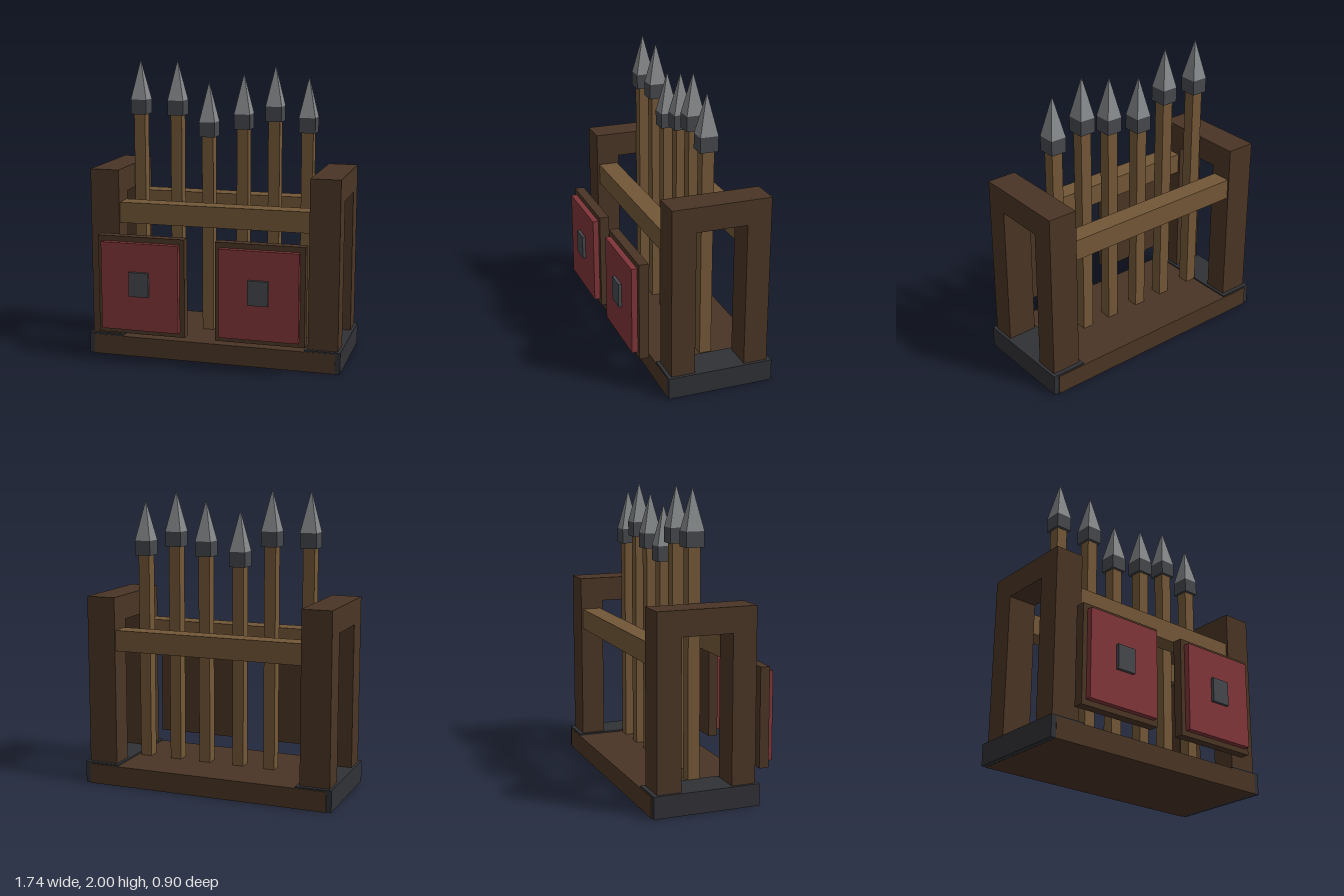
import * as THREE from 'three';

const material = (color) => new THREE.MeshStandardMaterial({ color, flatShading: true });

export function createModel() {
  const model = new THREE.Group();
  model.name = 'spearRack';
  const darkWood = material(0x4a3525);
  const lightWood = material(0x735737);
  const iron = material(0x46484c);
  const darkIron = material(0x303136);
  const steel = material(0x85888a);
  const red = material(0x803538);

  // Box given by its minimum and maximum corners
  function box(parent, name, mat, [x0, y0, z0], [x1, y1, z1]) {
    const mesh = new THREE.Mesh(new THREE.BoxGeometry(x1 - x0, y1 - y0, z1 - z0), mat);
    mesh.position.set((x0 + x1) / 2, (y0 + y1) / 2, (z0 + z1) / 2);
    mesh.name = name;
    parent.add(mesh);
    return mesh;
  }

  function group(name, x = 0, y = 0, z = 0) {
    const g = new THREE.Group();
    g.name = name;
    g.position.set(x, y, z);
    model.add(g);
    return g;
  }

  // Plinth
  box(model, 'base', darkWood, [-0.835, 0, -0.45], [0.835, 0.135, 0.27]);

  // End frames: iron shoe, two posts and a top beam
  for (const side of [-1, 1]) {
    const end = group(side > 0 ? 'leftEnd' : 'rightEnd', side * 0.75, 0, -0.085);
    box(end, 'baseCap', darkIron, [-0.12, 0.001, -0.358], [0.12, 0.145, 0.353]);
    box(end, 'backPost', darkWood, [-0.1, 0.14, -0.33], [0.1, 1.115, -0.17]);
    box(end, 'frontPost', darkWood, [-0.1, 0.14, 0.17], [0.1, 1.115, 0.33]);
    box(end, 'topBeam', darkWood, [-0.1, 1.115, -0.33], [0.1, 1.28, 0.33]);
  }

  // Rails between the end frames
  box(model, 'frontRail', lightWood, [-0.655, 0.92, 0.1], [0.655, 1.06, 0.23]);
  box(model, 'backRail', lightWood, [-0.655, 0.92, -0.405], [0.655, 1.06, -0.275]);

  // Spears: x position and height of the tip
  const spears = [[-0.6, 1.995], [-0.337, 1.995], [-0.115, 1.855],
    [0.128, 1.915], [0.344, 1.973], [0.57, 1.905]];
  const tipGeometry = new THREE.ConeGeometry(Math.SQRT1_2, 1, 4)
    .rotateY(Math.PI / 4).scale(0.11, 0.27, 0.12);
  spears.forEach(([x, top], i) => {
    const spear = group(`spear${i + 1}`, x, 0, -0.085);
    box(spear, 'shaft', lightWood, [-0.039, 0.13, -0.04], [0.039, top - 0.36, 0.04]);
    box(spear, 'collar', iron, [-0.055, top - 0.37, -0.06], [0.055, top - 0.27, 0.06]);
    const tip = new THREE.Mesh(tipGeometry, steel);
    tip.name = 'spearTip';
    tip.position.y = top - 0.135;
    spear.add(tip);
  });

  // Shields in front of the rack
  for (const x of [-0.448, 0.358]) {
    const shield = group(x > 0 ? 'leftShield' : 'rightShield', x, 0.532, 0.325);
    box(shield, 'backing', darkWood, [-0.299, -0.332, 0], [0.299, 0.332, 0.065]);
    box(shield, 'face', red, [-0.266, -0.296, 0.06], [0.266, 0.296, 0.104]);
    box(shield, 'boss', iron, [-0.067, -0.06, 0.1], [0.067, 0.104, 0.125]);
  }

  return model;
}
